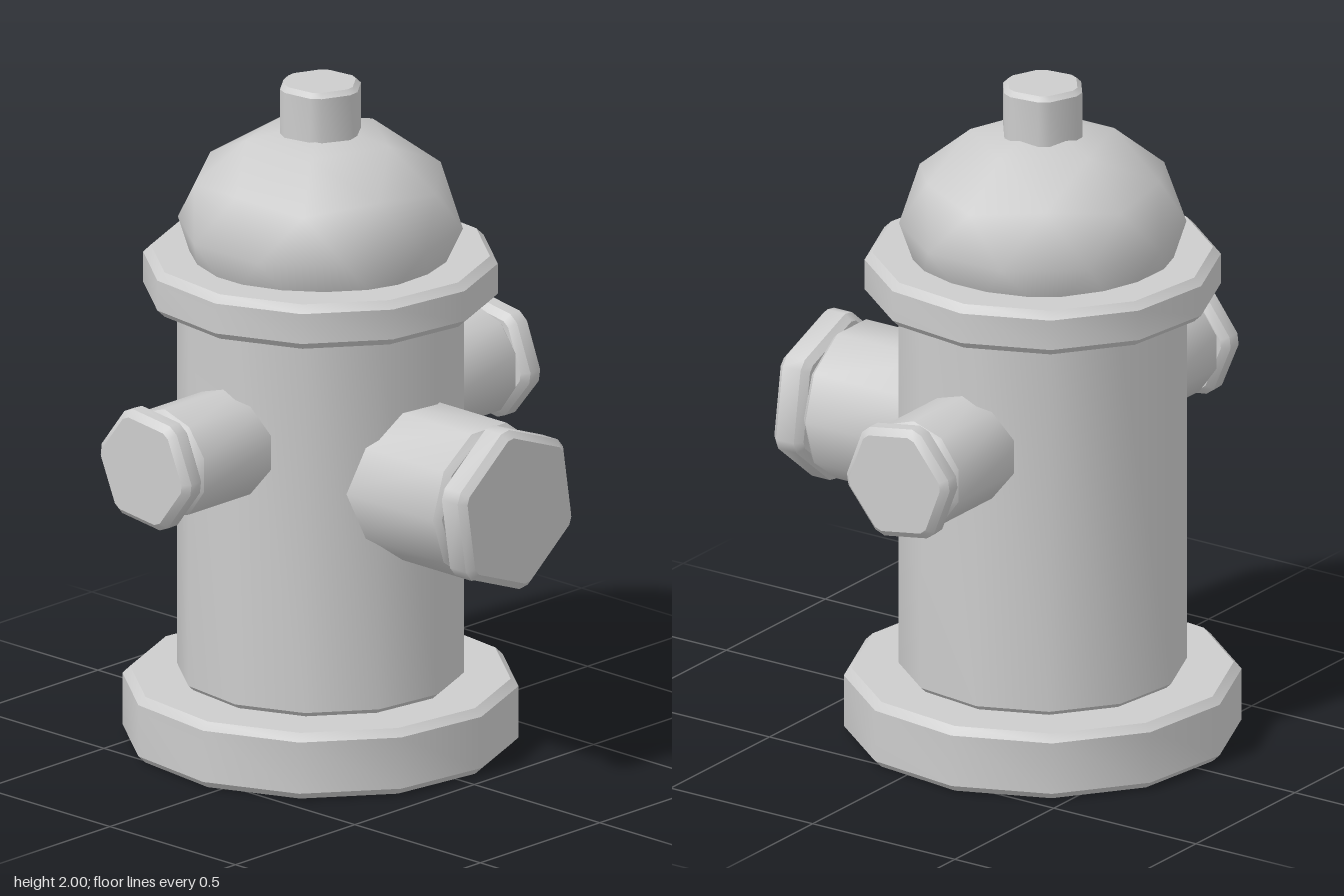
import * as THREE from 'three';
import { toCreasedNormals } from 'three/addons/utils/BufferGeometryUtils.js';

const rad = THREE.MathUtils.degToRad;

// Corners of a regular polygon; a cut > 0 trims each corner by that length along its edges.
function polygon(radius, sides, startDeg, cut = 0) {
  const corners = [];
  for (let i = 0; i < sides; i++) {
    const a = rad(startDeg + (i * 360) / sides);
    corners.push(new THREE.Vector2(Math.cos(a) * radius, Math.sin(a) * radius));
  }
  if (!cut) return corners;
  return corners.flatMap((c, i) => {
    const toward = (o) => c.clone().add(o.clone().sub(c).setLength(cut));
    return [toward(corners[(i + sides - 1) % sides]), toward(corners[(i + 1) % sides])];
  });
}

// Chamfered prism running along z from z0 to z1.
function prism(points, z0, z1, bevel) {
  const geo = new THREE.ExtrudeGeometry(new THREE.Shape(points), {
    depth: z1 - z0 - 2 * bevel,
    bevelEnabled: true,
    bevelSegments: 1,
    bevelThickness: bevel,
    bevelSize: bevel,
    bevelOffset: -bevel,
  });
  geo.translate(0, 0, z0 + bevel);
  return toCreasedNormals(geo, rad(40));
}

export function createModel() {
  const model = new THREE.Group();
  model.name = 'fireHydrant';
  const metal = new THREE.MeshStandardMaterial({ color: 0xcccccc });
  metal.name = 'greyMetal';

  const axisZ = -0.113; // the barrel stands behind the centre, the front outlet balances it

  function add(name, geo, parent) {
    const mesh = new THREE.Mesh(geo, metal);
    mesh.name = name;
    parent.add(mesh);
    return mesh;
  }

  // Upright stack: base, barrel, flange and top nut
  const stack = new THREE.Group();
  stack.name = 'stack';
  stack.position.z = axisZ;
  model.add(stack);
  const upright = (name, points, y0, y1, bevel) =>
    add(name, prism(points, y0, y1, bevel).rotateX(-Math.PI / 2), stack);
  upright('base', polygon(0.575, 12, 97.5), 0, 0.2, 0.022);
  upright('barrel', polygon(0.417, 12, 97.5), 0.19, 1.36, 0.025);
  upright('flange', polygon(0.515, 12, 97.5), 1.35, 1.485, 0.022);
  upright('topNut', polygon(0.13, 6, 97, 0.02), 1.72, 2, 0.014);

  // Squashed dome, one corner pointing straight up
  const dome = new THREE.IcosahedronGeometry(1, 1);
  dome.rotateZ(-Math.atan(2 / (1 + Math.sqrt(5))));
  dome.scale(0.415, 0.31, 0.415);
  add('dome', dome, stack).position.y = 1.57;

  // Outlets: a ten-sided pipe closed by a hexagonal cap
  function outlet(name, turn, y, o) {
    const group = new THREE.Group();
    group.name = name;
    group.position.set(0, y, axisZ);
    group.rotation.y = turn;
    add('pipe', prism(polygon(o.pipeR, 10, o.pipeStart), 0.25, o.pipeEnd, 0.018), group);
    add('cap', prism(polygon(o.capR, 6, o.capStart, 0.02), o.pipeEnd, o.capEnd, 0.02), group);
    model.add(group);
  }
  outlet('frontOutlet', 0, 0.875, {
    pipeR: 0.235, pipeStart: 0, pipeEnd: 0.69, capR: 0.258, capStart: 99, capEnd: 0.793,
  });
  const side = { pipeR: 0.165, pipeStart: 90, pipeEnd: 0.67, capR: 0.19, capEnd: 0.75 };
  outlet('leftOutlet', Math.PI / 2, 0.995, { ...side, capStart: 69 });
  outlet('rightOutlet', -Math.PI / 2, 0.995, { ...side, capStart: 113 });

  return model;
}
